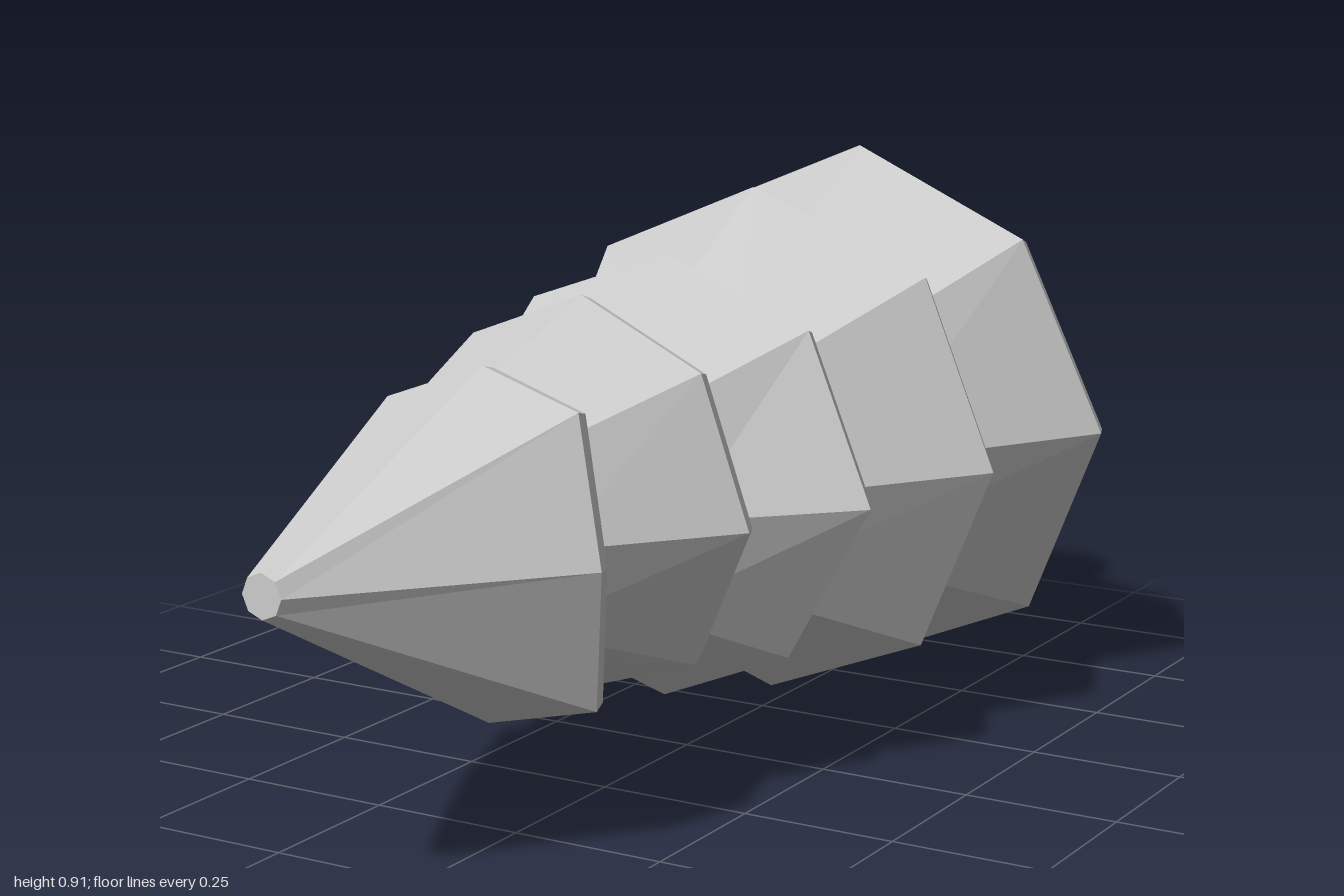
import * as THREE from 'three';

const SIDES = 8;
const material = new THREE.MeshStandardMaterial({ color: 0xcccccc, flatShading: true });
const trunkMaterial = new THREE.MeshStandardMaterial({ color: 0xcccccc });

// Regular octagon facing +z
function octagon(x, y, z, r) {
  return Array.from({ length: SIDES }, (_, i) => {
    const a = (i / SIDES) * Math.PI * 2;
    return new THREE.Vector3(x + r * Math.cos(a), y + r * Math.sin(a), z);
  });
}

const centreOf = (ring) =>
  ring.reduce((sum, p) => sum.add(p), new THREE.Vector3()).divideScalar(ring.length);

// Ring scaled about its own centre and shifted along z
function inset(ring, scale, dz) {
  const c = centreOf(ring);
  return ring.map((p) => new THREE.Vector3(
    c.x + (p.x - c.x) * scale, c.y + (p.y - c.y) * scale, p.z + dz));
}

// Skin through rings ordered from front to back, capped at both ends
function loft(rings) {
  const points = [];
  const first = rings[0], last = rings[rings.length - 1];
  const c0 = centreOf(first), c1 = centreOf(last);
  for (let i = 0; i < SIDES; i++) {
    const j = (i + 1) % SIDES;
    points.push(c0, first[i], first[j], c1, last[j], last[i]);
    for (let k = 0; k < rings.length - 1; k++) {
      const a = rings[k], b = rings[k + 1];
      points.push(a[i], b[i], b[j], a[i], b[j], a[j]);
    }
  }
  const geometry = new THREE.BufferGeometry().setFromPoints(points);
  geometry.computeVertexNormals();
  return geometry;
}

// Slightly uneven rim: octagon corners with their own depth
function evenRim(x, y, r, depths) {
  return octagon(x, y, 0, r).map((p, i) => p.setZ(depths[i]));
}

const uneven = (corners) => corners.map((c) => new THREE.Vector3(...c));

// Branch tiers, from the widest to the tip; corners start at +x and run anticlockwise
const tiers = [
  {
    name: 'lowestTier', top: octagon(-0.01, 0.457, -0.2, 0.235),
    rim: evenRim(0, 0.457, 0.455, [-0.59, -0.55, -0.58, -0.61, -0.58, -0.58, -0.58, -0.61]),
    lip: 0.035,
  },
  {
    name: 'lowerTier', top: octagon(-0.02, 0.457, 0.1, 0.22),
    rim: evenRim(0, 0.457, 0.427, [-0.23, -0.23, -0.21, -0.25, -0.24, -0.27, -0.28, -0.235]),
    lip: 0.025,
  },
  {
    name: 'middleTier', top: octagon(-0.04, 0.46, 0.31, 0.215),
    rim: uneven([
      [0.375, 0.457, 0.09], [0.25, 0.715, 0.06], [0, 0.812, 0.065], [-0.26, 0.72, 0.04],
      [-0.39, 0.46, 0.04], [-0.255, 0.2, 0.05], [0, 0.105, 0.07], [0.235, 0.205, 0.09]]),
    lip: 0.025,
  },
  {
    name: 'upperTier', top: octagon(-0.07, 0.462, 0.56, 0.18),
    rim: uneven([
      [0.275, 0.45, 0.285], [0.19, 0.68, 0.28], [-0.03, 0.775, 0.26], [-0.255, 0.69, 0.22],
      [-0.39, 0.473, 0.17], [-0.295, 0.245, 0.21], [-0.075, 0.145, 0.25], [0.175, 0.23, 0.27]]),
    lip: 0.027,
  },
  {
    name: 'tipTier', top: octagon(-0.07, 0.472, 1, 0.033),
    rim: uneven([
      [0.21, 0.45, 0.59], [0.135, 0.66, 0.53], [-0.055, 0.703, 0.49], [-0.24, 0.635, 0.47],
      [-0.315, 0.445, 0.46], [-0.235, 0.247, 0.51], [-0.005, 0.188, 0.56], [0.175, 0.23, 0.55]]),
    lip: 0.027,
  },
];

export function createModel() {
  const tree = new THREE.Group();
  tree.name = 'lyingPineTree';

  for (const { name, top, rim, lip } of tiers) {
    // Cone, thin lip, flat back edge and a shallow recess underneath
    const mesh = new THREE.Mesh(loft([
      top, rim, inset(rim, 0.97, -lip), inset(rim, 0.77, -lip), inset(rim, 0.7, 0.05),
    ]), material);
    mesh.name = name;
    tree.add(mesh);
  }

  // Trunk flaring towards its base at the back
  const trunk = new THREE.Mesh(
    new THREE.CylinderGeometry(0.094, 0.12, 0.5, SIDES), trunkMaterial);
  trunk.name = 'trunk';
  trunk.rotation.x = Math.PI / 2;
  trunk.position.set(0, 0.457, -0.75);
  tree.add(trunk);

  return tree;
}
